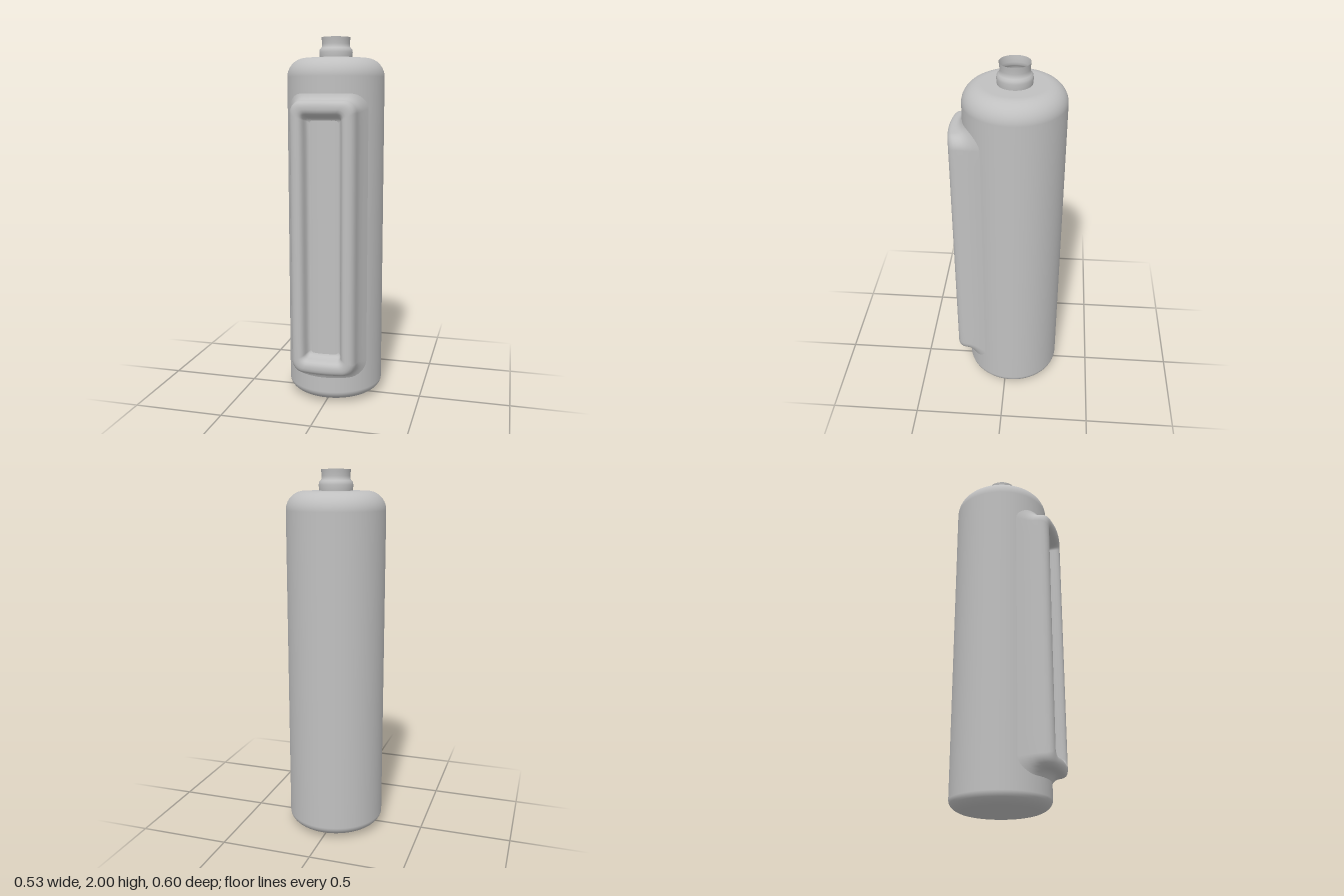
import * as THREE from 'three';

const R = 0.265, CZ = -0.037; // body radius and axis position

// Points on a quarter ellipse from angle a to b (radians)
function arc(cx, cy, rx, ry, a, b, n = 10) {
  return Array.from({ length: n + 1 }, (_, i) => {
    const t = a + (b - a) * i / n;
    return new THREE.Vector2(cx + rx * Math.cos(t), cy + ry * Math.sin(t));
  });
}

// Rounded rectangle, counter-clockwise from the front, same point count for any size
function roundedLoop(hw, hh, r) {
  const pts = [], corners = [[1, 1], [-1, 1], [-1, -1], [1, -1]];
  corners.forEach(([sx, sy], k) => {
    const c = arc(sx * (hw - r), sy * (hh - r), r, r, k * Math.PI / 2, (k + 1) * Math.PI / 2, 8);
    pts.push(...c);
    const [nx, ny] = corners[(k + 1) % 4];
    const a = (k + 1) * Math.PI / 2;
    const end = new THREE.Vector2(nx * (hw - r) + r * Math.cos(a), ny * (hh - r) + r * Math.sin(a));
    for (let i = 1; i < 14; i++) pts.push(c[8].clone().lerp(end, i / 14));
  });
  return pts;
}

// Raised frame: each section is [inset from the outer edge, rise from body to crown]
function frameGeometry() {
  const sections = [
    [-0.05, -0.06], [-0.036, 0.0], [-0.02, 0.1], [-0.008, 0.25], [-0.002, 0.42], [0, 0.62],
    [0.003, 0.78], [0.01, 0.9], [0.02, 0.97], [0.032, 1], [0.046, 1], [0.058, 0.96],
    [0.068, 0.86], [0.075, 0.7], [0.079, 0.5], [0.083, 0.28], [0.09, 0.1], [0.1, 0.01], [0.108, -0.04],
  ];
  const pos = [], index = [];
  let n = 0;
  for (const [inset, rise] of sections) {
    const loop = roundedLoop(0.178 - inset, 0.735 - inset, Math.max(0.014, 0.062 - inset * 0.5));
    n = loop.length;
    for (const p of loop) {
      const body = CZ + Math.sqrt(R * R - p.x * p.x);
      const crown = 0.3 - 0.75 * p.x * p.x;
      pos.push(p.x, p.y + 0.93, body + (crown - body) * rise);
    }
  }
  for (let s = 0; s < sections.length - 1; s++) {
    for (let i = 0; i < n; i++) {
      const a = s * n + i, b = s * n + (i + 1) % n;
      index.push(a, b, b + n, a, b + n, a + n);
    }
  }
  const g = new THREE.BufferGeometry();
  g.setAttribute('position', new THREE.Float32BufferAttribute(pos, 3));
  g.setIndex(index);
  g.computeVertexNormals();
  return g;
}

export function createModel() {
  const group = new THREE.Group();
  const grey = new THREE.MeshStandardMaterial({ color: 0xc0c0c0, side: THREE.DoubleSide });
  grey.name = 'grey';

  const add = (name, geometry, z = 0) => {
    const mesh = new THREE.Mesh(geometry, grey);
    mesh.name = name;
    mesh.position.z = z;
    group.add(mesh);
  };

  // Cylindrical body with rounded shoulder and base
  const profile = [
    new THREE.Vector2(0, 0.005),
    new THREE.Vector2(0.08, 0.007),
    ...arc(R - 0.1, 0.075, 0.1, 0.062, -Math.PI / 2, 0),
    ...arc(R - 0.1, 1.79, 0.1, 0.1, 0, Math.PI / 2),
    new THREE.Vector2(0.1, 1.89),
    new THREE.Vector2(0, 1.89),
  ];
  add('body', new THREE.LatheGeometry(profile, 96), CZ);

  // Open neck with a collar
  const neck = [
    [0.088, 1.885], [0.09, 1.9], [0.091, 1.92], [0.089, 1.934], [0.081, 1.943],
    [0.076, 1.952], [0.075, 1.965], [0.077, 1.985], [0.079, 2],
  ].map(([x, y]) => new THREE.Vector2(x, y));
  add('neck', new THREE.LatheGeometry(neck, 64), CZ);

  // Raised rectangular frame on the front
  add('frontFrame', frameGeometry());
  return group;
}
